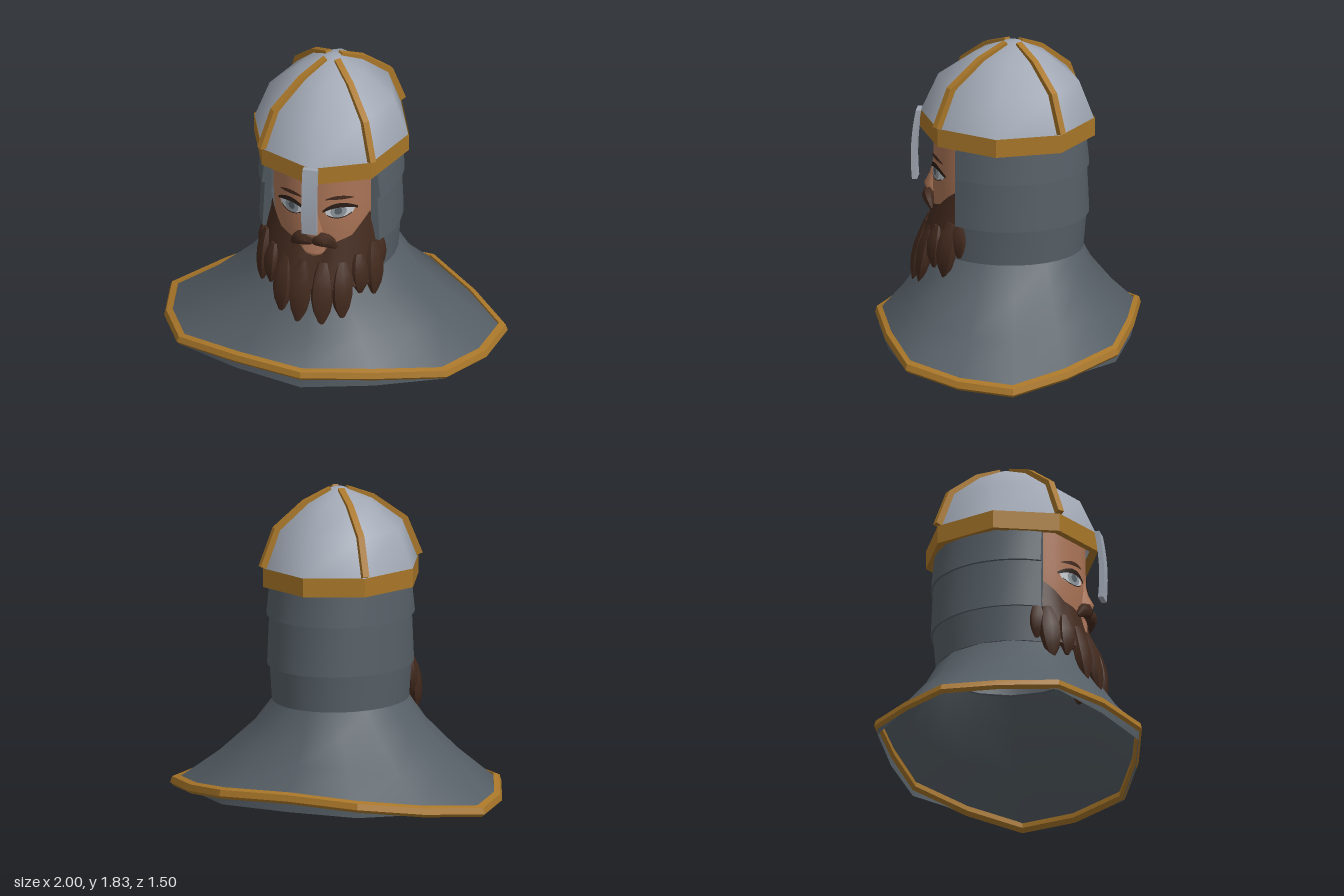
import * as THREE from 'three';
import { toCreasedNormals } from 'three/addons/utils/BufferGeometryUtils.js';

const V = (x, y, z) => new THREE.Vector3(x, y, z);

export function createModel() {
  const model = new THREE.Group();
  const mat = (name, color) =>
    new THREE.MeshStandardMaterial({ name, color, side: THREE.DoubleSide });
  const steel = mat('steel', 0xa0a7b3);
  const mail = mat('mail', 0x565f66);
  const gold = mat('gold', 0xa87629);
  const skin = mat('skin', 0xaa7456);
  const hair = mat('hair', 0x432a1e);
  const lip = mat('lip', 0xb57d60);
  const eyeWhite = mat('eyeWhite', 0xc6cbd0);
  const irisGrey = mat('irisGrey', 0x8b949b);
  const pupilGrey = mat('pupilGrey', 0x566067);
  const dark = mat('dark', 0x2a1d18);

  const add = (name, geometry, material) => {
    const mesh = new THREE.Mesh(geometry, material);
    mesh.name = name;
    model.add(mesh);
  };

  // Skin a list of rings; each ring runs counter-clockwise around the travel direction
  const loft = (rings, { closed = true, caps = false, crease = 0.7 } = {}) => {
    const n = rings[0].length, index = [];
    for (let j = 0; j < rings.length - 1; j++) {
      for (let i = 0; i < (closed ? n : n - 1); i++) {
        const k = (i + 1) % n, a = j * n + i, b = j * n + k;
        index.push(a, b, b + n, a, b + n, a + n);
      }
    }
    if (caps) {
      const top = (rings.length - 1) * n;
      for (let i = 1; i < n - 1; i++) index.push(0, i + 1, i, top, top + i, top + i + 1);
    }
    const g = new THREE.BufferGeometry().setFromPoints(rings.flat());
    g.setIndex(index);
    g.computeVertexNormals();
    return toCreasedNormals(g, crease);
  };
  const ellipse = (rx, rz, y, cz, n, from = 0, to = Math.PI * 2, open = false) =>
    Array.from({ length: open ? n + 1 : n }, (_, i) => {
      const a = from + (to - from) * i / n;
      return V(rx * Math.sin(a), y, cz + rz * Math.cos(a));
    });

  // Helmet dome and its thin rim
  const dome = [[1, 1.37], [0.81, 1.6], [0.43, 1.745], [0.09, 1.822], [0.001, 1.825]];
  const shift = s => -0.02 - 0.035 * (1 - s);
  add('helmetDome', loft(dome.map(([s, y]) => ellipse(0.455 * s, 0.505 * s, y, shift(s), 8)), { crease: 1 }), steel);
  const rim = [[0.9, 1.275], [1, 1.27], [1, 1.38]];
  add('helmetRim', loft(rim.map(([s, y]) => ellipse(0.46 * s, 0.51 * s, y, -0.02, 8)), { crease: 0.3 }), gold);

  // Four diagonal ribs: scale from the axis, height, outward direction
  const ribPath = [[1, 1.385, 0.95, 0.3], [0.82, 1.6, 0.8, 0.6], [0.44, 1.74, 0.45, 0.89], [0.1, 1.808, 0.3, 0.95]];
  for (let q = 0; q < 4; q++) {
    const a = Math.PI / 4 + q * Math.PI / 2;
    const side = V(Math.cos(a), 0, -Math.sin(a)).multiplyScalar(0.019);
    const rings = ribPath.map(([s, y, h, v]) => {
      const p = V(Math.sin(a) * 0.459 * s, y, Math.cos(a) * 0.509 * s + shift(s));
      const out = V(Math.sin(a) * h, v, Math.cos(a) * h);
      const at = (o, k) => p.clone().addScaledVector(out, o).addScaledVector(side, k);
      return [at(0.022, -1), at(0.022, 1), at(-0.02, 1), at(-0.02, -1)];
    });
    add('helmetRib', loft(rings, { caps: true, crease: 0.3 }), gold);
  }

  // Curved nose guard
  const guard = new THREE.BoxGeometry(0.088, 0.42, 0.03, 1, 6, 1).translate(0, 1.17, 0);
  const gp = guard.attributes.position;
  for (let i = 0; i < gp.count; i++) {
    const t = (1.38 - gp.getY(i)) / 0.42;
    gp.setZ(i, gp.getZ(i) + 0.493 + 0.085 * t - 0.063 * t * t);
  }
  guard.computeVertexNormals();
  add('noseGuard', guard, steel);

  // Three overlapping mail bands, open at the face
  const bands = [
    [[0.583, 0.385, 0.44], [0.82, 0.4, 0.46]],
    [[0.795, 0.412, 0.472], [1.1, 0.4, 0.458]],
    [[1.085, 0.418, 0.472], [1.3, 0.398, 0.45]],
  ];
  for (const band of bands) {
    const rows = band.map(([y, rx, rz]) => {
      const a = Math.acos(0.255 / rz);
      const arc = ellipse(rx, rz, y, -0.02, 24, a, Math.PI * 2 - a, true);
      return [V(0.295, y, 0.235), ...arc, V(-0.295, y, 0.235)];
    });
    const under = rows[0].map(p => V(p.x * 0.95, p.y, p.z > 0.23 ? p.z : p.z * 0.95));
    add('mailBand', loft([under, ...rows], { closed: false, crease: 0.6 }), mail);
  }

  // Shoulder cape: half outline of the hem as x, y, z, mirrored
  const half = [[0, 0.128, 0.75], [0.42, 0.113, 0.628], [0.8, 0.078, 0.455], [0.955, 0.042, 0.13],
    [1, 0.03, -0.2], [0.75, 0.06, -0.48], [0.44, 0.108, -0.73], [0, 0.123, -0.755]];
  const hem = [...half, ...half.slice(1, 7).reverse().map(([x, y, z]) => [-x, y, z])].map(p => V(...p));
  const hemRow = (s, dy) => hem.map(p => V(p.x * s, p.y + dy, p.z * s));
  const neck = ellipse(0.378, 0.435, 0.59, -0.02, 14);
  const capeRows = [[1, 1], [0.55, 0.64], [0.2, 0.29], [0, 0]].map(([t, d]) =>
    neck.map((p, i) => V(
      THREE.MathUtils.lerp(p.x, hem[i].x * 0.975, t),
      THREE.MathUtils.lerp(p.y, hem[i].y, d),
      THREE.MathUtils.lerp(p.z, hem[i].z * 0.975, t))));
  add('shoulderCape', loft(capeRows, { crease: 1 }), mail);
  const skirt = hemRow(0.975, 0);
  add('capeSkirt', loft([skirt.map(p => V(p.x, Math.min(p.y, 0.045), p.z)), skirt]), mail);
  add('capeHem', loft([hemRow(0.98, -0.03), hemRow(1, -0.012), hemRow(0.988, 0.024), hemRow(0.95, 0.035),
    hemRow(0.95, -0.01), hemRow(0.98, -0.03)], { crease: 0.35 }), gold);

  // Head and nose
  const headRows = [[0.55, 0.2, 0.2], [0.7, 0.27, 0.28], [0.85, 0.295, 0.31], [1.05, 0.305, 0.31], [1.37, 0.305, 0.305]];
  add('head', loft(headRows.map(([y, rx, rz]) => ellipse(rx, rz, y, 0.1, 48)), { caps: true, crease: 1 }), skin);
  const noseRows = [[0.865, 0.04, 0.03], [0.895, 0.06, 0.06], [0.93, 0.05, 0.07], [1.0, 0.03, 0.035], [1.09, 0.02, 0.015]];
  add('nose', loft(noseRows.map(([y, rx, rz]) => ellipse(rx, rz, y, 0.395, 10)), { caps: true, crease: 1 }), skin);

  // Thin face details wrapped on the front of the head
  const decal = (name, cx, w, mid, halfHeight, lift, material) => {
    const g = new THREE.PlaneGeometry(2, 2, 16, 2), p = g.attributes.position;
    for (let i = 0; i < p.count; i++) {
      const u = p.getX(i), x = cx + u * w;
      p.setXYZ(i, x, mid(u) + p.getY(i) * halfHeight(u),
        0.1 + 0.31 * Math.sqrt(1 - (x / 0.305) ** 2) + lift);
    }
    g.computeVertexNormals();
    add(name, g, material);
  };
  const round = r => u => r * Math.sqrt(Math.max(0, 1 - u * u));
  for (const s of [-1, 1]) {
    const x = s * 0.143;
    decal('eyeWhite', x, 0.078, () => 1.045, round(0.042), 0.003, eyeWhite);
    decal('iris', x - s * 0.005, 0.044, () => 1.046, round(0.041), 0.005, irisGrey);
    decal('pupil', x - s * 0.005, 0.021, () => 1.05, round(0.024), 0.007, pupilGrey);
    decal('upperLash', x, 0.092, u => 1.088 - 0.038 * u * u, u => 0.014 * (1.1 - u * u * 0.6), 0.008, dark);
    decal('lowerLash', x, 0.065, u => 1.003 + 0.022 * u * u, () => 0.003, 0.006, dark);
    decal('eyebrow', x, 0.075, u => 1.139 - 0.013 * u * u - 0.004 * u * s, u => 0.011 * (1.15 - u * u), 0.006, hair);
  }
  decal('lowerLip', 0, 0.068, () => 0.798, round(0.036), 0.009, lip);

  // Beard mass: strip around the jaw with a shaped upper edge
  const edge = x => {
    const pts = [[0, 0.75], [0.05, 0.765], [0.09, 0.835], [0.2, 0.875], [0.3, 1.02]];
    const k = Math.max(1, pts.findIndex(p => p[0] >= x));
    const [[x0, y0], [x1, y1]] = [pts[k - 1], pts[k]];
    return y0 + (y1 - y0) * (x - x0) / (x1 - x0);
  };
  const beardRow = t => {
    const row = ellipse(0.315 + 0.08 * (1 - t), 0.322 + 0.075 * (1 - t), 0, 0.1, 32, -1.17, 1.17, true);
    row.forEach((p, i) => {
      const top = edge(Math.abs(0.3 * Math.sin(-1.17 + 2.34 * i / 32)));
      p.y = THREE.MathUtils.lerp(0.57, top, t);
    });
    return row;
  };
  const underside = ellipse(0.24, 0.27, 0.6, 0.1, 32, -1.17, 1.17, true);
  add('beard', loft([underside, ...[0, 0.35, 0.7, 1].map(beardRow)], { closed: false, crease: 1 }), hair);

  // Tapered tuft along a bent path
  const tuft = (name, a, b, c, r, flat, profile) => {
    const curve = new THREE.QuadraticBezierCurve3(V(...a), V(...b), V(...c));
    const rings = profile.map((f, j) => {
      const t = j / (profile.length - 1), p = curve.getPoint(t), T = curve.getTangent(t);
      const out = V(p.x, 0, p.z - 0.1);
      const N = out.clone().addScaledVector(T, -T.dot(out)).normalize();
      const B = T.clone().cross(N);
      return Array.from({ length: 7 }, (_, i) => {
        const q = i / 7 * Math.PI * 2;
        return p.clone().addScaledVector(N, Math.cos(q) * r * f * flat).addScaledVector(B, Math.sin(q) * r * f);
      });
    });
    add(name, loft(rings, { caps: true, crease: 0.8 }), hair);
  };
  const lockProfile = [0.45, 0.8, 1, 0.98, 0.75, 0.25];
  // start x, y, z, then tip x, y, z, then radius
  const locks = [
    [0.06, 0.72, 0.43, 0.07, 0.355, 0.515, 0.068], [0.165, 0.72, 0.4, 0.18, 0.385, 0.465, 0.066],
    [0.25, 0.76, 0.35, 0.265, 0.51, 0.37, 0.056], [0.31, 0.8, 0.26, 0.33, 0.475, 0.3, 0.066],
    [0.335, 0.82, 0.205, 0.345, 0.6, 0.21, 0.045],
  ];
  for (const s of [-1, 1]) {
    for (const [x, y, z, tx, ty, tz, r] of locks) {
      tuft('beardLock', [s * x, y, z], [s * (x + tx) * 0.52, (y + ty) / 2, (z + tz) / 2 + 0.015],
        [s * tx, ty, tz], r, 0.65, lockProfile);
    }
    tuft('moustache', [s * 0.005, 0.85, 0.43], [s * 0.065, 0.915, 0.45], [s * 0.13, 0.815, 0.4],
      0.045, 0.8, [0.55, 0.9, 1, 0.95, 0.75, 0.3]);
  }
  return model;
}
